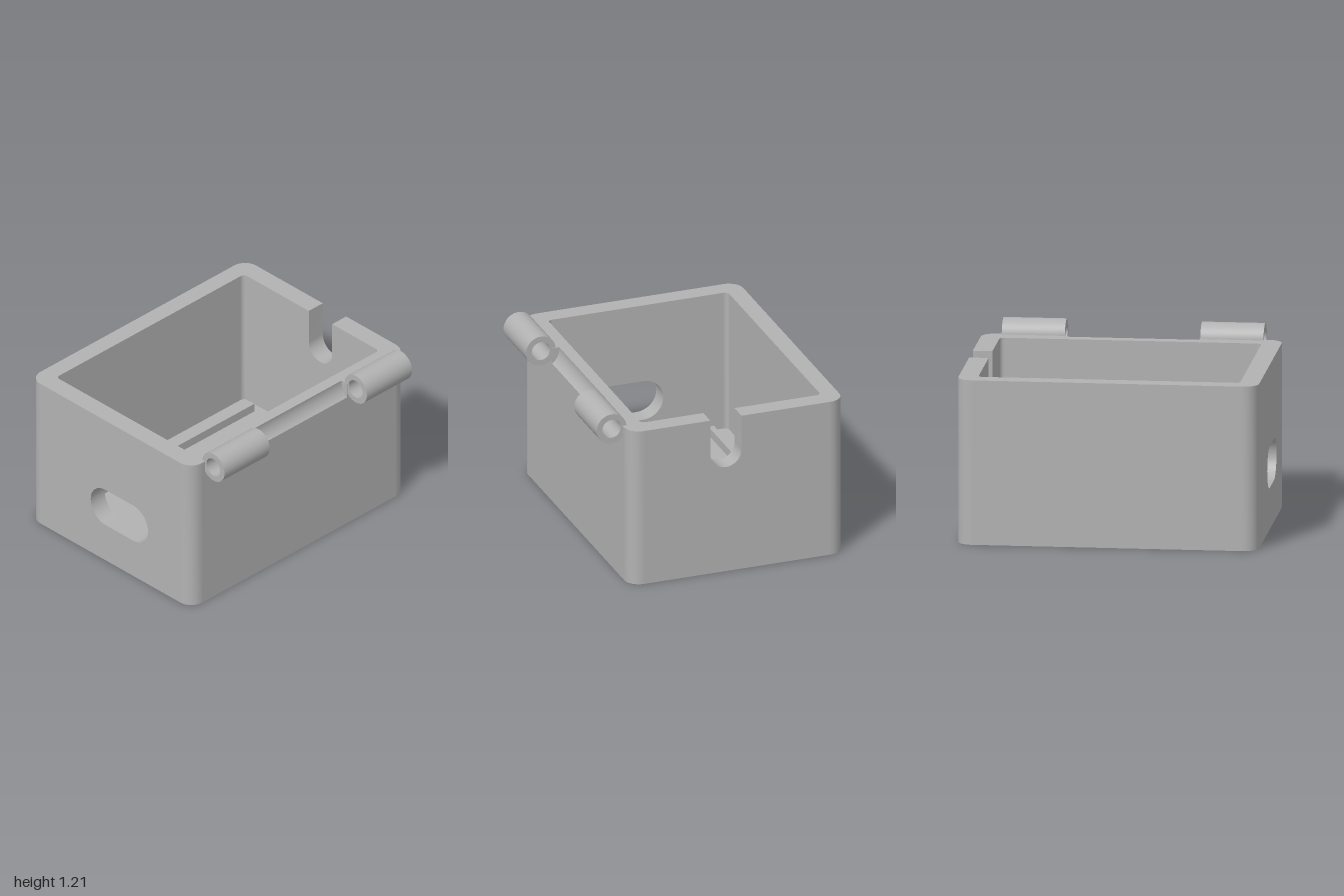
import * as THREE from 'three';
import { toCreasedNormals } from 'three/addons/utils/BufferGeometryUtils.js';

const H = 1.11, FLOOR = 0.125;
const OUT = { x0: -1, x1: 1, z0: -0.85, z1: 0.67, r: 0.1 };
const INN = { x0: -0.87, x1: 0.87, z0: -0.73, z1: 0.54, r: 0.03 };
const HINGE = { z: 0.748, y: 1.1, ro: 0.105, ri: 0.065 };

// points [u, v] along an arc
function arc(cu, cv, r, a0, a1, n = 16) {
  return Array.from({ length: n + 1 }, (_, i) => {
    const a = a0 + (a1 - a0) * i / n;
    return [cu + r * Math.cos(a), cv + r * Math.sin(a)];
  });
}

// four corner arcs of a rounded rectangle in plan
function corners({ x0, x1, z0, z1, r }) {
  const q = Math.PI / 2;
  return [[x1 - r, z1 - r], [x0 + r, z1 - r], [x0 + r, z0 + r], [x1 - r, z0 + r]]
    .map(([x, z], i) => arc(x, z, r, i * q, (i + 1) * q, 8));
}

const toShape = pts => new THREE.Shape(pts.map(p => new THREE.Vector2(...p)));
const rect = (u0, u1, v0, v1) => [[u0, v0], [u1, v0], [u1, v1], [u0, v1]];

export function createModel() {
  const group = new THREE.Group();
  const grey = new THREE.MeshStandardMaterial({ color: 0xb2b2b2, side: THREE.DoubleSide });
  grey.name = 'grey plastic';

  function add(name, geometry) {
    const mesh = new THREE.Mesh(geometry, grey);
    mesh.name = name;
    group.add(mesh);
    return mesh;
  }

  // flat face: a shape placed in space by map(u, v)
  function panel(name, shape, map, flip) {
    const g = new THREE.ShapeGeometry(shape);
    const p = g.attributes.position;
    for (let i = 0; i < p.count; i++) p.setXYZ(i, ...map(p.getX(i), p.getY(i)));
    if (flip) g.index.array.reverse();
    g.computeVertexNormals();
    add(name, g);
  }

  // curved face: a path drawn out between two positions
  function strip(name, pts, mapA, mapB) {
    const pos = [], idx = [];
    pts.forEach(([u, v], i) => {
      pos.push(...mapA(u, v), ...mapB(u, v));
      const k = 2 * i;
      if (i < pts.length - 1) idx.push(k, k + 2, k + 1, k + 2, k + 3, k + 1);
    });
    const g = new THREE.BufferGeometry();
    g.setAttribute('position', new THREE.Float32BufferAttribute(pos, 3));
    g.setIndex(idx);
    g.computeVertexNormals();
    add(name, g);
  }

  const atX = x => (z, y) => [x, y, z];
  const atY = y => (x, z) => [x, y, z];
  const atZ = z => (x, y) => [x, y, z];

  // rounded vertical corners
  const outer = corners(OUT), inner = corners(INN);
  outer.forEach(c => strip('outerCorner', c, atY(H), atY(0)));
  inner.forEach(c => strip('innerCorner', c, atY(FLOOR), atY(H)));

  // side wall with an open cable slot
  const slot = [[0.1, H], ...arc(-0.01, 0.865, 0.11, 0, -Math.PI), [-0.12, H]];
  [[OUT, 0, true], [INN, FLOOR, false]].forEach(([b, y, flip]) => {
    const z0 = b.z0 + b.r, z1 = b.z1 - b.r;
    panel('slottedWall', toShape([[z0, y], [z1, y], [z1, H], ...slot, [z0, H]]), atX(b.x1), flip);
  });
  strip('cableSlot', slot, atX(OUT.x1), atX(INN.x1));

  // opposite wall with a long round-ended hole
  const port = [...arc(0.125, 0.42, 0.14, -Math.PI / 2, Math.PI / 2),
    ...arc(-0.135, 0.42, 0.14, Math.PI / 2, Math.PI * 1.5)];
  [[OUT, 0, false], [INN, FLOOR, true]].forEach(([b, y, flip]) => {
    const s = toShape(rect(b.z0 + b.r, b.z1 - b.r, y, H));
    s.holes.push(toShape(port));
    panel('portWall', s, atX(b.x0), flip);
  });
  strip('portTunnel', [...port, port[0]], atX(OUT.x0), atX(INN.x0));

  // back wall
  const ox = OUT.x1 - OUT.r, ix = INN.x1 - INN.r;
  panel('backWallOuter', toShape(rect(-ox, ox, 0, H)), atZ(OUT.z0), true);
  panel('backWallInner', toShape(rect(-ix, ix, FLOOR, H)), atZ(INN.z0), false);

  // front wall with the curved hinge clearance
  const nx = 0.445, nr = 0.128;
  const a0 = Math.PI + Math.acos((HINGE.z - OUT.z1) / nr);
  const a1 = Math.PI - Math.asin((H - HINGE.y) / nr);
  const notch = arc(HINGE.z, HINGE.y, nr, a0, a1);
  const ny = notch[0][1], nz = notch[16][0];
  panel('frontWallOuter', toShape([[-ox, 0], [ox, 0], [ox, H], [nx, H], [nx, ny],
    [-nx, ny], [-nx, H], [-ox, H]]), atZ(OUT.z1), false);
  panel('frontWallInner', toShape(rect(-ix, ix, FLOOR, H)), atZ(INN.z1), true);
  strip('hingeClearance', notch, atX(nx), atX(-nx));
  [nx, -nx].forEach(x =>
    panel('clearanceEnd', toShape([...notch, [OUT.z1, H]]), atX(x), x < 0));

  // top rim, open at the slot
  const rim = [[OUT.x1, 0.1], ...outer[0], [nx, OUT.z1], [nx, nz], [-nx, nz], [-nx, OUT.z1],
    ...outer.slice(1).flat(), [OUT.x1, -0.12],
    [INN.x1, -0.12], ...inner.flat().reverse(), [INN.x1, 0.1]];
  panel('rim', toShape(rim), atY(H), true);

  // floor and its locating rib
  panel('floorTop', toShape(inner.flat()), atY(FLOOR), true);
  panel('underside', toShape(outer.flat()), atY(0), false);
  add('floorRib', new THREE.BoxGeometry(1.62, 0.06, 0.04)).position.set(0, FLOOR + 0.03, -0.59);

  // hinge barrels
  const L = 0.21, { ro, ri } = HINGE;
  const profile = [[ri, -L], [ro, -L], [ro, L], [ri, L], [ri, -L]].map(p => new THREE.Vector2(...p));
  const barrel = toCreasedNormals(new THREE.LatheGeometry(profile, 40), 0.6);
  barrel.rotateZ(Math.PI / 2);
  [-1, 1].forEach(s => {
    add(s > 0 ? 'leftHingeBarrel' : 'rightHingeBarrel', barrel).position.set(s * 0.66, HINGE.y, HINGE.z);
  });

  return group;
}
